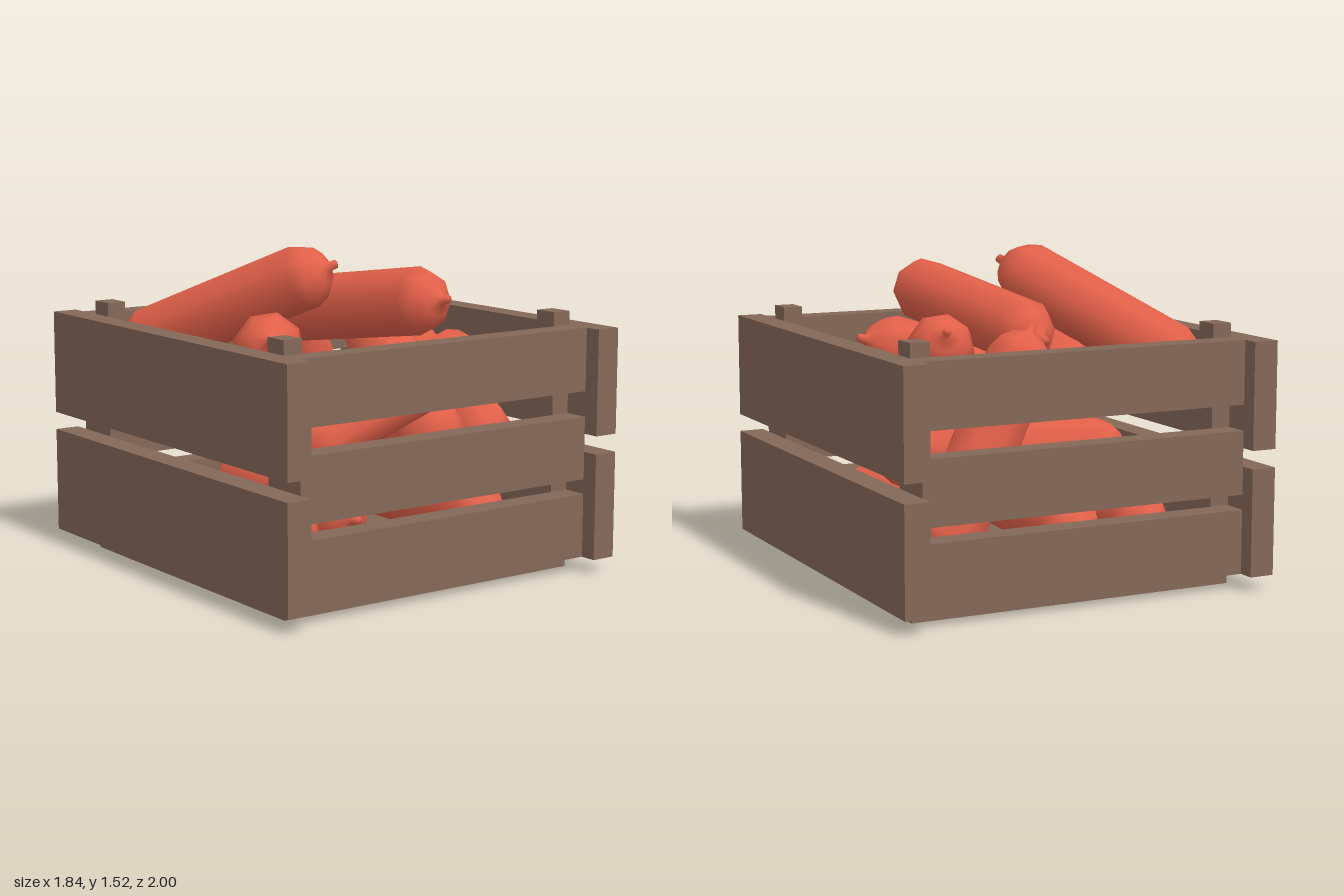
import * as THREE from 'three';

export function createModel() {
  const root = new THREE.Group();
  const wood = new THREE.MeshStandardMaterial({ color: 0x846858 });
  wood.name = 'brown wood';
  const meat = new THREE.MeshStandardMaterial({ color: 0xe26049 });
  meat.name = 'sausage red';

  // Box given by its centre in x and z and its bottom and top in y
  function board(name, parent, x, z, w, d, y0, y1) {
    const mesh = new THREE.Mesh(new THREE.BoxGeometry(w, y1 - y0, d), wood);
    mesh.position.set(x, (y0 + y1) / 2, z);
    mesh.name = name;
    parent.add(mesh);
  }

  // Crate: floor, corner posts, two wide side boards, three narrow end boards
  const crate = new THREE.Group();
  crate.name = 'crate';
  root.add(crate);
  board('floor', crate, 0, 0, 1.6, 1.6, 0, 0.075);
  for (const s of [-1, 1]) {
    for (const t of [-1, 1]) board('cornerPost', crate, s * 0.753, t * 0.74, 0.094, 0.12, 0.01, 1.215);
    for (const [a, b] of [[0.07, 0.57], [0.655, 1.15]]) board('sideBoard', crate, s * 0.86, 0, 0.12, 2, a, b);
    for (const [a, b] of [[0.07, 0.37], [0.44, 0.735], [0.855, 1.15]]) board('endBoard', crate, 0, s * 0.86, 1.6, 0.12, a, b);
  }

  // Sausage profile: rounded body with a small knot at both ends
  const half = 0.62;
  const cap = [[0, 0], [0.02, 0.004], [0.024, 0.045], [0.08, 0.068], [0.128, 0.115], [0.157, 0.18]];
  const profile = [
    ...cap.map(([r, d]) => new THREE.Vector2(r, d - half)),
    ...cap.slice().reverse().map(([r, d]) => new THREE.Vector2(r, half - d)),
  ];
  const sausageGeometry = new THREE.LatheGeometry(profile, 8);

  // Tip to tip positions, from the bottom layer up
  const pile = [
    [[-0.515, 0.27, -0.65], [-0.515, 0.27, 0.59]],
    [[-0.06, 0.29, -0.79], [-0.17, 0.29, 0.48]],
    [[0.42, 0.27, -0.44], [0.42, 0.27, 0.78]],
    [[0.63, 0.17, -0.66], [0.08, 1.23, -0.54]],
    [[-0.4, 0.64, -0.64], [0.7, 0.6, -0.08]],
    [[0.68, 0.97, -0.34], [0.37, 0.6, 0.8]],
    [[0.36, 1.18, -0.24], [0.08, 0.6, 0.8]],
    [[-0.72, 0.68, 0.66], [0.45, 1.06, 0.6]],
    [[-0.08, 0.82, -0.5], [-0.68, 1.17, 0.53]],
    [[-0.01, 1.14, -0.5], [0.15, 1.31, 0.72]],
    [[-0.7, 0.97, -0.73], [-0.16, 1.45, 0.29]],
  ];
  const sausages = new THREE.Group();
  sausages.name = 'sausages';
  root.add(sausages);
  const up = new THREE.Vector3(0, 1, 0);
  for (const [p, q] of pile) {
    const a = new THREE.Vector3(...p), b = new THREE.Vector3(...q);
    const mesh = new THREE.Mesh(sausageGeometry, meat);
    mesh.name = 'sausage';
    mesh.position.copy(a).add(b).multiplyScalar(0.5);
    mesh.quaternion.setFromUnitVectors(up, b.clone().sub(a).normalize());
    mesh.scale.y = a.distanceTo(b) / (2 * half);
    sausages.add(mesh);
  }
  return root;
}
